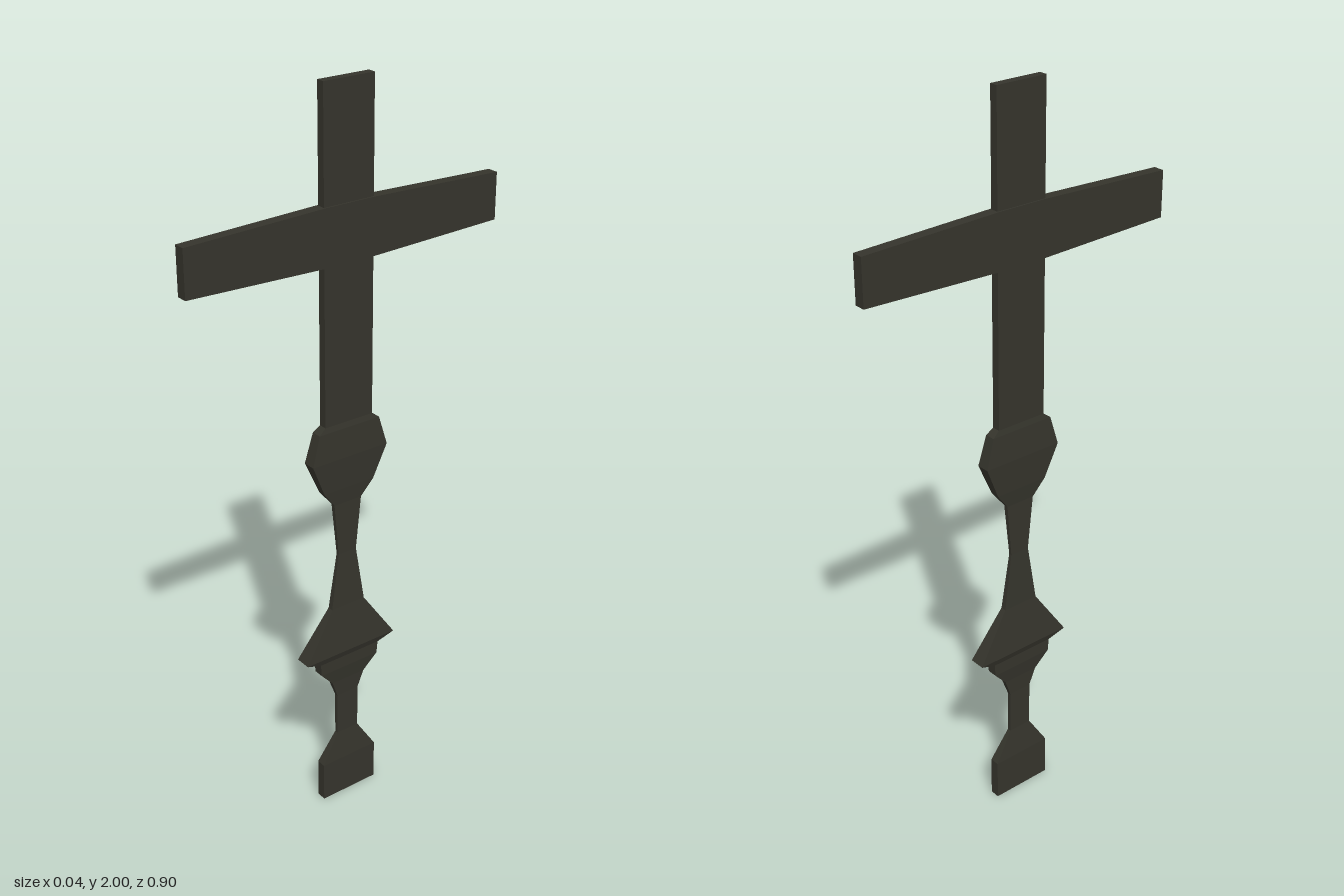
import * as THREE from 'three';

// Lofts rectangular sections [a, b, s] along +y: half sizes a (x) and b (z) at height s
function loft(sections) {
  const pos = [];
  const ring = ([a, b, s]) => [[a, s, b], [a, s, -b], [-a, s, -b], [-a, s, b]];
  const quad = (p, q, r, t) => pos.push(...p, ...q, ...r, ...p, ...r, ...t);
  for (let i = 0; i < sections.length - 1; i++) {
    const lo = ring(sections[i]), hi = ring(sections[i + 1]);
    for (let k = 0; k < 4; k++) {
      const n = (k + 1) % 4;
      quad(lo[k], lo[n], hi[n], hi[k]);
    }
  }
  const first = ring(sections[0]), last = ring(sections[sections.length - 1]);
  quad(first[3], first[2], first[1], first[0]);
  quad(last[0], last[1], last[2], last[3]);
  const geometry = new THREE.BufferGeometry();
  geometry.setAttribute('position', new THREE.Float32BufferAttribute(pos, 3));
  geometry.computeVertexNormals();
  return geometry;
}

export function createModel() {
  const group = new THREE.Group();
  const darkIron = new THREE.MeshStandardMaterial({ color: 0x35342c, flatShading: true });
  darkIron.name = 'darkIron';

  const add = (name, geometry) => {
    const mesh = new THREE.Mesh(geometry, darkIron);
    mesh.name = name;
    group.add(mesh);
    return mesh;
  };

  // Flattened four-sided post: [half width in z, height], thickness in proportion
  const flatness = 0.155;
  const profile = [
    [0.087, 0], [0.087, 0.115], [0.034, 0.2], [0.034, 0.325], [0.052, 0.375],
    [0.092, 0.42], [0.095, 0.455], [0.143, 0.475], [0.052, 0.61], [0.028, 0.77],
    [0.042, 0.92], [0.077, 0.965], [0.115, 1.055], [0.092, 1.135], [0.072, 1.15],
    [0.072, 2],
  ];
  add('post', loft(profile.map(([w, y]) => [w * flatness, w, y])));

  // Crossbar along z, a little taller in the middle
  const bar = add('crossbar', loft([
    [0.015, 0.061, -0.452], [0.015, 0.073, -0.072],
    [0.015, 0.073, 0.072], [0.015, 0.061, 0.452],
  ]));
  bar.rotation.x = Math.PI / 2;
  bar.position.y = 1.638;

  return group;
}
